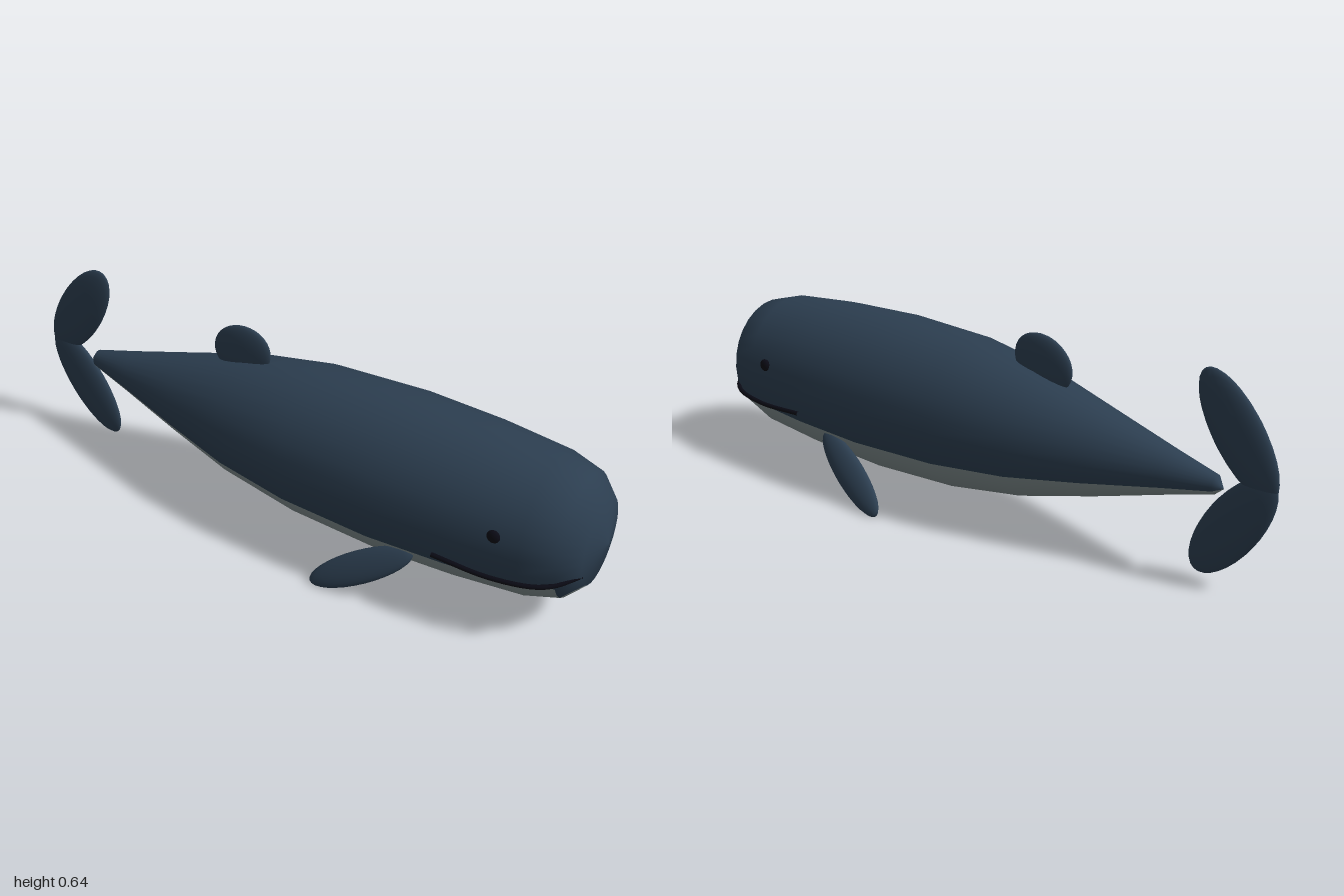
import * as THREE from 'three';

const material = (name, color, side = THREE.FrontSide) => {
  const m = new THREE.MeshStandardMaterial({ color, side });
  m.name = name;
  return m;
};

// Body: oval rings along x, the underside in its own material group
function bodyGeometry() {
  const sides = 28;
  // x, bottom y, top y
  const rings = [
    [-0.835, 0.305, 0.305], [-0.81, 0.283, 0.341], [-0.66, 0.24, 0.38],
    [-0.43, 0.17, 0.443], [-0.2, 0.107, 0.507], [0.05, 0.068, 0.549],
    [0.35, 0.054, 0.561], [0.6, 0.064, 0.551], [0.82, 0.084, 0.53],
    [0.92, 0.115, 0.5], [0.975, 0.174, 0.44], [1, 0.307, 0.307],
  ];
  const positions = [];
  for (const [x, low, high] of rings) {
    const r = (high - low) / 2;
    for (let j = 0; j < sides; j++) {
      const a = (j / sides) * Math.PI * 2;
      positions.push(x, (low + high) / 2 + r * Math.sin(a), 0.925 * r * Math.cos(a));
    }
  }
  const back = [], belly = [];
  const last = rings.length - 2;
  for (let i = 0; i <= last; i++) {
    // The pale underside narrows at the snout and stops before the nose cap
    const half = i === last ? 0 : i === last - 1 ? 3 : 5;
    for (let j = 0; j < sides; j++) {
      const k = (j + 1) % sides;
      const a = i * sides + j, b = a + sides, d = i * sides + k, c = d + sides;
      const target = j >= 21 - half && j < 21 + half ? belly : back;
      if (i < last) target.push(a, b, c);
      else target.push(a, b, d);
      if (i > 0 && i < last) target.push(a, c, d);
    }
  }
  const g = new THREE.BufferGeometry();
  g.setAttribute('position', new THREE.Float32BufferAttribute(positions, 3));
  g.setIndex([...back, ...belly]);
  g.addGroup(0, back.length, 0);
  g.addGroup(back.length, belly.length, 1);
  g.computeVertexNormals();
  return g;
}

export function createModel() {
  const whale = new THREE.Group();
  whale.name = 'whale';
  const skin = material('slate blue skin', 0x2c3e50);
  const pale = material('grey belly', 0x7f8c8d);
  const ink = material('dark ink', 0x0a0a14);

  const add = (name, geometry, mat) => {
    const mesh = new THREE.Mesh(geometry, mat);
    mesh.name = name;
    whale.add(mesh);
    return mesh;
  };
  const ellipsoid = (name, mat, radii, position, rotation = [0, 0, 0]) => {
    const mesh = add(name, new THREE.SphereGeometry(1, 24, 16), mat);
    mesh.scale.set(...radii);
    mesh.position.set(...position);
    mesh.rotation.set(...rotation);
    return mesh;
  };

  add('body', bodyGeometry(), [skin, pale]);

  ellipsoid('dorsalFin', skin, [0.106, 0.085, 0.02], [-0.221, 0.533, 0], [0, 0, 0.35]);

  // Tail flukes, one rising and one falling
  for (const s of [1, -1]) {
    ellipsoid(s > 0 ? 'upperFluke' : 'lowerFluke', skin, [0.2, 0.081, 0.023],
      [-0.868, 0.339 + s * 0.137, 0], [0, 0, s * 0.977]);
  }

  // Paired flippers, eyes and mouth lines
  for (const s of [1, -1]) {
    const side = s > 0 ? 'right' : 'left';
    ellipsoid(side + 'Flipper', skin, [0.177, 0.05, 0.021],
      [0.35, 0.1, s * 0.237], [-s * 0.46, 0, 0.58]);
    ellipsoid(side + 'Eye', ink, [0.02, 0.02, 0.012], [0.745, 0.363, s * 0.206]);
    const path = new THREE.CatmullRomCurve3([
      [0.575, 0.244, 0.233], [0.745, 0.235, 0.226], [0.87, 0.238, 0.2],
      [0.92, 0.243, 0.17], [0.972, 0.255, 0.105],
    ].map(([x, y, z]) => new THREE.Vector3(x, y, s * z)));
    add(side + 'MouthLine', new THREE.TubeGeometry(path, 24, 0.007, 8), ink);
  }
  return whale;
}
